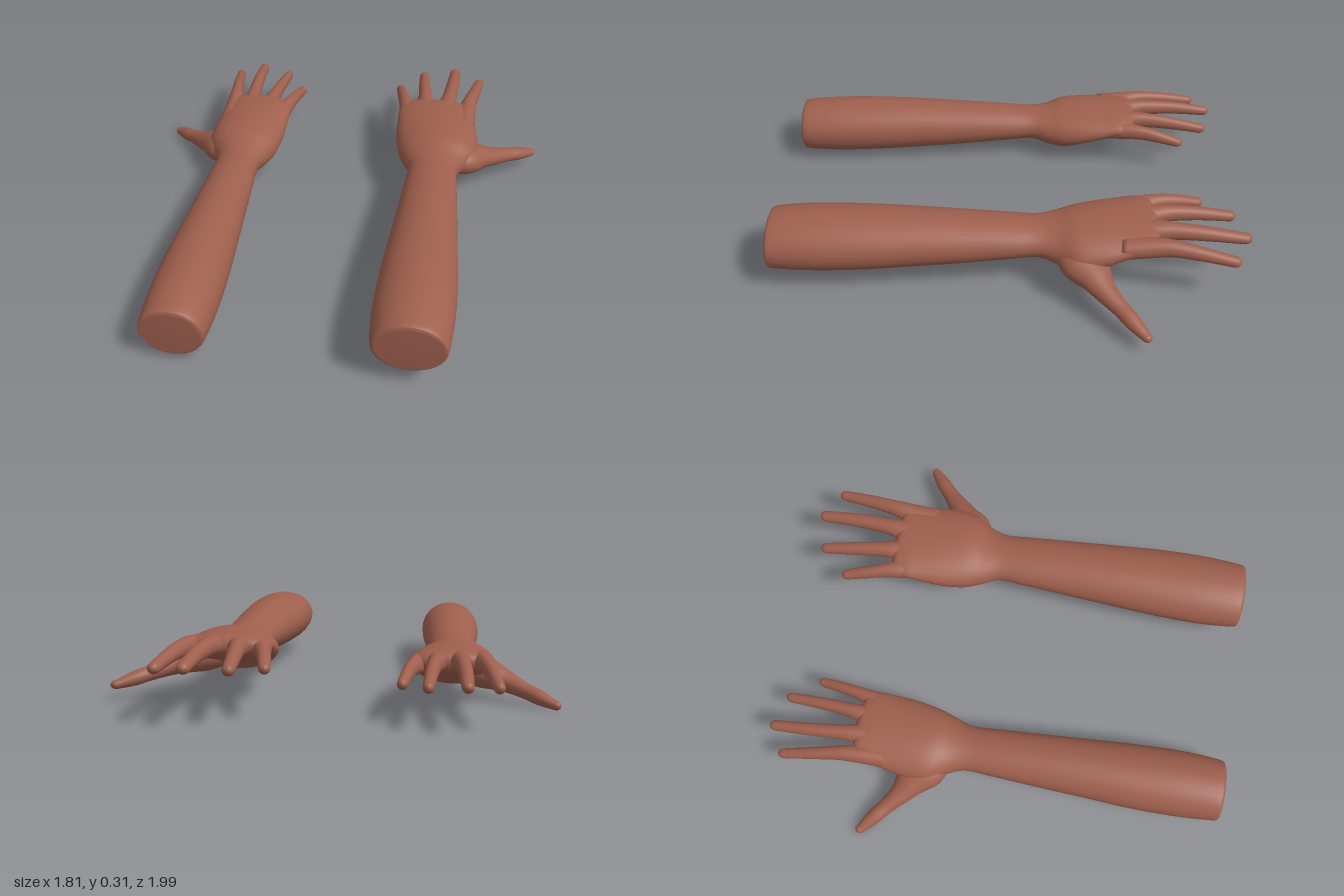
import * as THREE from 'three';

const SIDES = 32, STEPS = 6;
const skin = new THREE.MeshStandardMaterial({ color: 0x9e5f4d });
skin.name = 'skin';

// Smooth loft through stations [x, y, z, halfWidth, halfHeight, cup], closed by a flat start and a round tip.
// dir is the horizontal heading; place maps each point; flip reverses the winding for the mirrored arm.
function loft(stations, dir, capLength, place, flip) {
  const path = new THREE.CatmullRomCurve3(stations.map(s => new THREE.Vector3(s[0], s[1], s[2])), false, 'catmullrom');
  const size = new THREE.CatmullRomCurve3(stations.map(s => new THREE.Vector3(s[3], s[4], s[5] || 0)), false, 'catmullrom');
  const up = new THREE.Vector3(0, 1, 0);
  const across = new THREE.Vector3().crossVectors(up, dir);
  const rings = [];
  const n = (stations.length - 1) * STEPS;
  for (let i = 0; i <= n; i++) rings.push([path.getPoint(i / n), size.getPoint(i / n)]);
  const [end, endSize] = rings[n];
  for (let k = 1; k <= 5; k++) {
    const a = k / 6 * Math.PI / 2;
    const r = endSize.clone();
    r.x *= Math.cos(a);
    r.y *= Math.cos(a);
    rings.push([end.clone().addScaledVector(dir, capLength * Math.sin(a)), r]);
  }

  const pos = [], index = [];
  const put = p => pos.push(...place(p));
  for (const [c, r] of rings) {
    for (let j = 0; j < SIDES; j++) {
      const a = j / SIDES * Math.PI * 2, s = Math.sin(a);
      const hollow = s < 0 ? 1 - r.z * s * s : 1;
      put(c.clone().addScaledVector(across, r.x * Math.cos(a)).addScaledVector(up, r.y * s * hollow));
    }
  }
  const tri = (a, b, c) => flip ? index.push(a, c, b) : index.push(a, b, c);
  const last = (rings.length - 1) * SIDES, startPole = rings.length * SIDES;
  put(rings[0][0]);
  put(end.clone().addScaledVector(dir, capLength));
  for (let j = 0; j < SIDES; j++) {
    const k = (j + 1) % SIDES;
    for (let i = 0; i < last; i += SIDES) {
      tri(i + j, i + k, i + SIDES + j);
      tri(i + k, i + SIDES + k, i + SIDES + j);
    }
    tri(startPole, k, j);
    tri(startPole + 1, last + j, last + k);
  }
  const geo = new THREE.BufferGeometry();
  geo.setAttribute('position', new THREE.Float32BufferAttribute(pos, 3));
  geo.setIndex(index);
  geo.computeVertexNormals();
  return geo;
}

// Forearm, wrist and palm in one run from the elbow end to the knuckles
const FOREARM = [
  [0.428, 0.190, 0.985, 0.135, 0.100],
  [0.425, 0.193, 0.960, 0.149, 0.116],
  [0.425, 0.195, 0.800, 0.160, 0.125],
  [0.427, 0.197, 0.600, 0.157, 0.122],
  [0.427, 0.199, 0.400, 0.144, 0.113],
  [0.428, 0.200, 0.200, 0.131, 0.100],
  [0.428, 0.203, 0.000, 0.118, 0.083],
  [0.428, 0.204, -0.120, 0.112, 0.073],
  [0.428, 0.196, -0.200, 0.142, 0.085],
  [0.438, 0.197, -0.280, 0.182, 0.100, 0.1],
  [0.430, 0.214, -0.380, 0.192, 0.088, 0.4],
  [0.420, 0.236, -0.480, 0.186, 0.066, 0.35],
  [0.416, 0.249, -0.540, 0.182, 0.052, 0.2],
  [0.418, 0.253, -0.585, 0.172, 0.045],
];

// Digits: stations run from a flared root inside the palm to the tip
const DIGITS = {
  littleFinger: [
    [0.300, 0.232, -0.46, 0.050, 0.042], [0.275, 0.240, -0.57, 0.042, 0.040],
    [0.253, 0.240, -0.65, 0.031, 0.034], [0.235, 0.228, -0.73, 0.027, 0.029],
    [0.219, 0.208, -0.815, 0.023, 0.022]],
  ringFinger: [
    [0.372, 0.242, -0.48, 0.050, 0.044], [0.360, 0.253, -0.60, 0.044, 0.042],
    [0.350, 0.256, -0.68, 0.033, 0.036], [0.338, 0.245, -0.80, 0.029, 0.030],
    [0.328, 0.222, -0.935, 0.024, 0.023]],
  middleFinger: [
    [0.455, 0.246, -0.48, 0.052, 0.046], [0.462, 0.257, -0.60, 0.047, 0.043],
    [0.469, 0.261, -0.68, 0.036, 0.037], [0.479, 0.253, -0.82, 0.031, 0.031],
    [0.484, 0.233, -0.972, 0.026, 0.023]],
  indexFinger: [
    [0.550, 0.238, -0.46, 0.052, 0.045], [0.560, 0.251, -0.59, 0.043, 0.042],
    [0.572, 0.255, -0.67, 0.034, 0.036], [0.591, 0.243, -0.78, 0.029, 0.030],
    [0.611, 0.220, -0.910, 0.024, 0.023]],
  thumb: [
    [0.480, 0.185, -0.25, 0.080, 0.060], [0.560, 0.172, -0.305, 0.098, 0.070],
    [0.630, 0.156, -0.355, 0.074, 0.056], [0.695, 0.136, -0.390, 0.049, 0.043],
    [0.765, 0.113, -0.445, 0.036, 0.033], [0.820, 0.097, -0.488, 0.034, 0.031],
    [0.885, 0.078, -0.537, 0.021, 0.019]],
};

function buildArm(name, place, flip) {
  const arm = new THREE.Group();
  arm.name = name;
  const add = (part, geo) => {
    const mesh = new THREE.Mesh(geo, skin);
    mesh.name = part;
    arm.add(mesh);
  };
  add('forearmAndPalm', loft(FOREARM, new THREE.Vector3(0, 0, -1), 0.04, place, flip));
  for (const [part, stations] of Object.entries(DIGITS)) {
    const a = stations[0], b = stations[stations.length - 1];
    const dir = new THREE.Vector3(b[0] - a[0], 0, b[2] - a[2]).normalize();
    add(part, loft(stations, dir, b[3] * 1.1, place, flip));
  }
  return arm;
}

export function createModel() {
  const model = new THREE.Group();
  model.name = 'pairOfArms';
  model.add(buildArm('leftSideArm', p => [p.x, p.y, p.z], false));
  // The other arm is mirrored, slightly narrower and lower
  model.add(buildArm('rightSideArm', p => [-(0.10 + 0.89 * p.x), p.y - 0.05, p.z + 0.008], true));
  return model;
}
